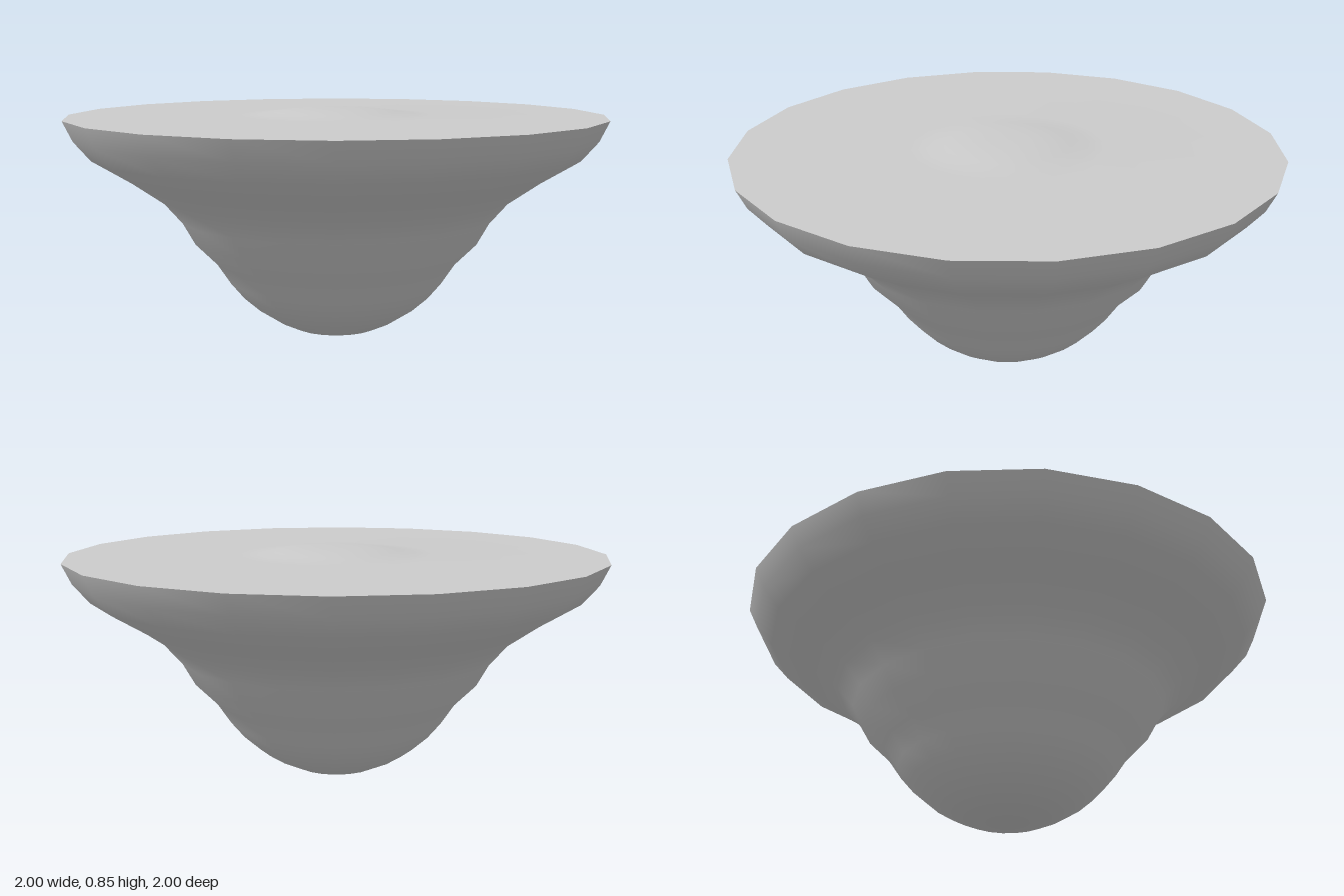
import * as THREE from 'three';

const SIDES = 20;

// Turns a profile of [radius, height] pairs, listed bottom to top, around the y axis
function turned(name, profile) {
  const points = profile.map(([r, y]) => new THREE.Vector2(r, y));
  const material = new THREE.MeshStandardMaterial({ color: 0xcccccc, side: THREE.DoubleSide });
  const mesh = new THREE.Mesh(new THREE.LatheGeometry(points, SIDES), material);
  mesh.name = name;
  return mesh;
}

export function createModel() {
  const group = new THREE.Group();
  group.name = 'flaredBowl';

  // Rounded bottom, stepped waist and flared rim
  group.add(turned('bowlBody', [
    [0, 0], [0.08, 0.005], [0.16, 0.02], [0.235, 0.055], [0.3, 0.097],
    [0.36, 0.15], [0.41, 0.21], [0.46, 0.285], [0.54, 0.365], [0.585, 0.445],
    [0.65, 0.52], [0.765, 0.6], [0.905, 0.685], [0.965, 0.755], [1, 0.828],
  ]));

  // Flat lid with a shallow raised centre, meeting the rim at a sharp edge
  group.add(turned('lid', [
    [1, 0.828], [0.37, 0.829], [0.3, 0.832], [0.23, 0.841], [0.16, 0.849], [0.08, 0.852], [0, 0.853],
  ]));

  return group;
}
